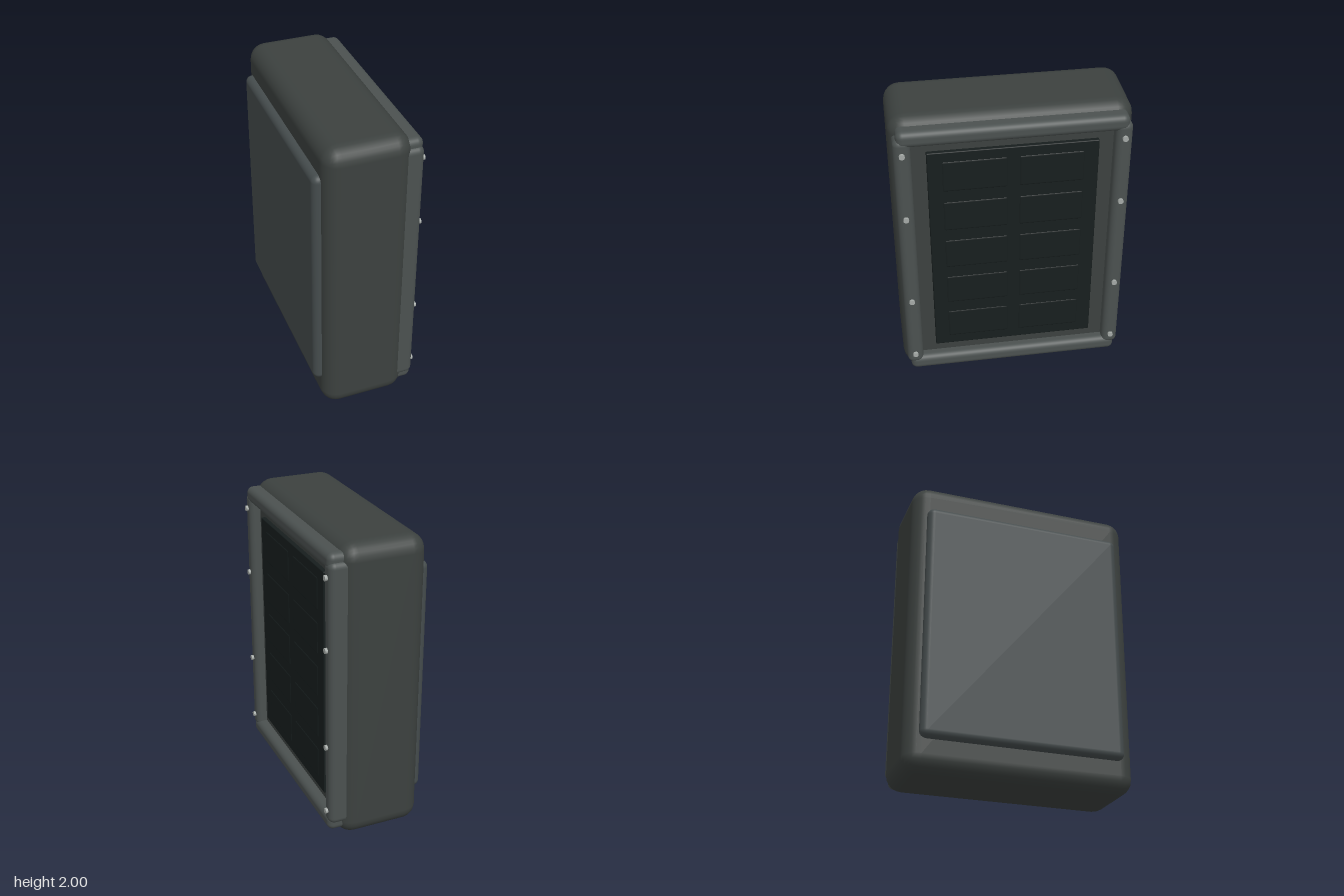
import * as THREE from 'three';
import { RoundedBoxGeometry } from 'three/addons/geometries/RoundedBoxGeometry.js';

const mat = (color) => new THREE.MeshStandardMaterial({ color });

export function createModel() {
  const model = new THREE.Group();
  const shell = mat(0x3c413f), rail = mat(0x4b5150), back = mat(0x454c4d);
  const glass = mat(0x171e1e), metal = mat(0xa5aaa7);

  // Rounded block given by its extents on each axis
  function block(name, material, [x0, x1], [y0, y1], [z0, z1], radius, segments = 4) {
    const geometry = new RoundedBoxGeometry(x1 - x0, y1 - y0, z1 - z0, segments, radius);
    const mesh = new THREE.Mesh(geometry, material);
    mesh.name = name;
    mesh.position.set((x0 + x1) / 2, (y0 + y1) / 2, (z0 + z1) / 2);
    model.add(mesh);
  }

  // Main housing and the raised cover on its rear side
  block('housing', shell, [-0.3, 0.26], [0, 2], [-0.755, 0.755], 0.105, 3);
  block('rearCover', back, [-0.347, -0.22], [0.2, 1.8], [-0.67, 0.67], 0.045);

  // Frame: two horizontal rails between two uprights, sunk into the housing
  const railX = [0.18, 0.33];
  block('topRail', rail, railX, [1.847, 1.955], [-0.712, 0.712], 0.042);
  block('bottomRail', rail, railX, [0.05, 0.158], [-0.712, 0.712], 0.042);
  block('rightUprightRail', rail, railX, [0.11, 1.905], [-0.733, -0.625], 0.042);
  block('leftUprightRail', rail, railX, [0.11, 1.905], [0.625, 0.733], 0.042);

  // Dark panel with two columns of five slightly raised cells
  block('panel', glass, [0.24, 0.288], [0.23, 1.78], [-0.533, 0.533], 0.006, 2);
  for (let row = 0; row < 5; row++) {
    const y = 0.295 + row * 0.299;
    for (const z of [[-0.447, -0.033], [0.033, 0.447]]) {
      block('panelCell', glass, [0.25, 0.291], [y, y + 0.225], z, 0.015, 3);
    }
  }

  // Screws along both uprights
  const screwGeometry = new THREE.CylinderGeometry(0.018, 0.018, 0.04, 16).rotateZ(Math.PI / 2);
  for (const z of [-0.68, 0.68]) {
    for (const y of [0.2, 0.67, 1.34, 1.805]) {
      const screw = new THREE.Mesh(screwGeometry, metal);
      screw.name = 'screw';
      screw.position.set(0.326, y, z);
      model.add(screw);
    }
  }
  return model;
}
